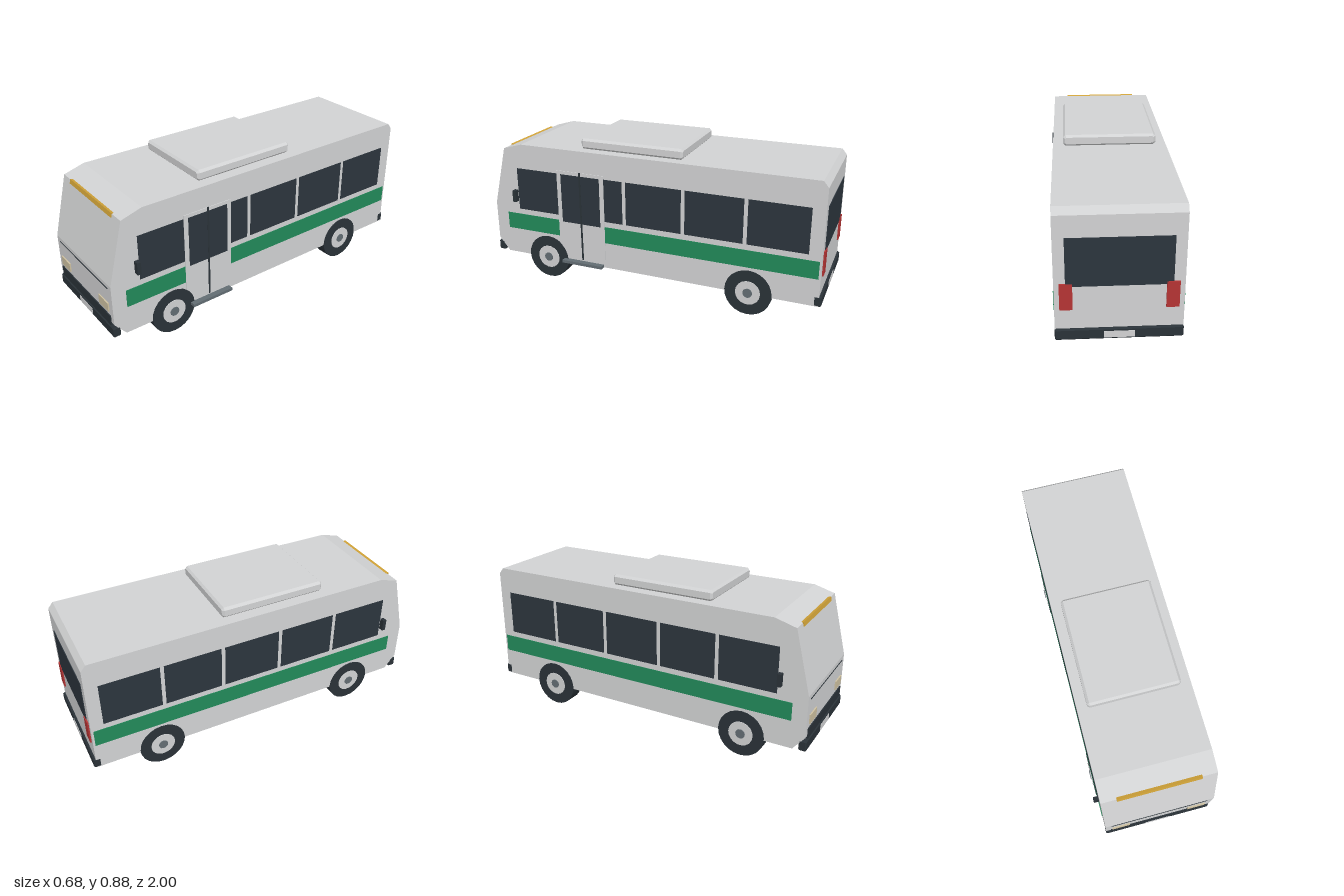
import * as THREE from 'three';

const material = (name, color) => {
  const m = new THREE.MeshStandardMaterial({ color });
  m.name = name;
  return m;
};

// Box with its edges and corners cut off by c
function chamferBox(w, h, d, c) {
  const a = w / 2 - c, b = h / 2 - c, k = c * 0.5;
  const shape = new THREE.Shape([
    [-a + k, -b], [a - k, -b], [a, -b + k], [a, b - k],
    [a - k, b], [-a + k, b], [-a, b - k], [-a, -b + k],
  ].map(([x, y]) => new THREE.Vector2(x, y)));
  const g = new THREE.ExtrudeGeometry(shape, {
    depth: d - 2 * c, bevelEnabled: true, bevelSize: c, bevelThickness: c, bevelSegments: 1,
  });
  return g.translate(0, 0, -d / 2 + c);
}

export function createModel() {
  const paint = material('body paint', 0xd2d3d4);
  const glass = material('dark glass', 0x2c353d);
  const rubber = material('black rubber', 0x2a3238);
  const green = material('green stripe', 0x228a5a);
  const amber = material('amber sign', 0xd0a238);
  const lamp = material('headlight cream', 0xcfc2a2);
  const red = material('tail light red', 0xb53434);
  const steel = material('grey steel', 0x636d73);

  const bus = new THREE.Group();
  bus.name = 'bus';
  const HALF = 0.31;

  const add = (name, geometry, mat, x = 0, y = 0, z = 0) => {
    const mesh = new THREE.Mesh(geometry, mat);
    mesh.name = name;
    mesh.position.set(x, y, z);
    bus.add(mesh);
    return mesh;
  };
  // Box given by its limits on each axis
  const block = (name, mat, [x0, x1], [y0, y1], [z0, z1]) =>
    add(name, new THREE.BoxGeometry(x1 - x0, y1 - y0, z1 - z0), mat,
      (x0 + x1) / 2, (y0 + y1) / 2, (z0 + z1) / 2);
  // Thin plate on one side of the body, from depth "from" to depth "to"
  const sidePlate = (name, mat, side, from, to, y, z) =>
    block(name, mat, side > 0 ? [HALF + from, HALF + to] : [-HALF - to, -HALF - from], y, z);

  // Body: side profile (z, y) extruded across the width
  const profile = new THREE.Shape([
    [0.925, 0.123], [0.99, 0.203], [0.99, 0.435], [0.903, 0.783], [0.786, 0.817],
    [-0.957, 0.817], [-0.985, 0.783], [-0.985, 0.123],
  ].map(([z, y]) => new THREE.Vector2(-z, y)));
  const bodyGeo = new THREE.ExtrudeGeometry(profile, { depth: 2 * HALF, bevelEnabled: false });
  bodyGeo.translate(0, 0, -HALF).rotateY(Math.PI / 2);
  add('body', bodyGeo, paint);

  // Roof unit
  add('roofUnit', chamferBox(0.508, 0.062, 0.615, 0.012), paint, 0, 0.846, 0.112);

  for (const side of [1, -1]) {
    // Side windows
    for (let i = 0; i < 5; i++) {
      const z = -0.914 + i * 0.352;
      sidePlate('sideWindow', glass, side, -0.002, 0.002, [0.415, 0.67], [z, z + 0.33]);
    }
    sidePlate('sideStripe', green, side, -0.002, 0.003, [0.282, 0.382], [-0.973, 0.909]);
    sidePlate('mirror', rubber, side, -0.002, 0.029, [0.465, 0.535], [0.828, 0.85]);

    // Wheels
    for (const z of [0.638, -0.603]) {
      const disc = (name, mat, radius, x0, x1, sides) => {
        const g = new THREE.CylinderGeometry(radius, radius, x1 - x0, sides);
        add(name, g.rotateZ(Math.PI / 2), mat, side * (x0 + x1) / 2, 0.132, z);
      };
      disc('tyre', rubber, 0.132, 0.233, 0.314, 24);
      disc('wheelRim', paint, 0.07, 0.24, 0.318, 18);
      disc('wheelHub', steel, 0.027, 0.24, 0.322, 12);
    }

    // Lamps
    const headX = side > 0 ? [0.17, 0.272] : [-0.272, -0.17];
    block('headlight', lamp, headX, [0.267, 0.319], [0.985, 0.997]);
    const tailX = side > 0 ? [0.222, 0.285] : [-0.285, -0.222];
    block('tailLight', red, tailX, [0.29, 0.43], [-0.993, -0.98]);
  }

  // Passenger door with its glass, centre seam and step
  sidePlate('door', paint, 1, -0.002, 0.004, [0.142, 0.69], [0.255, 0.555]);
  sidePlate('doorGlass', glass, 1, 0.002, 0.006, [0.378, 0.67], [0.282, 0.528]);
  sidePlate('doorSeam', rubber, 1, 0.002, 0.007, [0.15, 0.692], [0.4, 0.41]);
  sidePlate('doorStep', steel, 1, -0.01, 0.034, [0.123, 0.14], [0.27, 0.53]);

  // Front details
  const sign = add('destinationSign', new THREE.BoxGeometry(0.452, 0.024, 0.016), amber, 0, 0.776, 0.902);
  sign.rotation.x = -0.24;
  block('windscreenSeam', rubber, [-0.276, 0.276], [0.408, 0.412], [0.985, 0.993]);
  block('grille', rubber, [-0.282, 0.282], [0.188, 0.246], [0.97, 0.996]);

  // Rear window
  block('rearWindow', glass, [-0.255, 0.255], [0.415, 0.67], [-0.989, -0.982]);

  // Bumpers and number plates
  for (const end of [1, -1]) {
    add('bumper', chamferBox(0.622, 0.06, 0.042, 0.006), rubber, 0, 0.152, end * 0.977);
    add('numberPlate', new THREE.BoxGeometry(0.15, 0.036, 0.006), paint, 0, 0.15, end * 0.997);
  }

  // Centre the whole, as the step reaches past the mirror
  bus.children.forEach((part) => { part.position.x -= 0.0025; });
  return bus;
}
